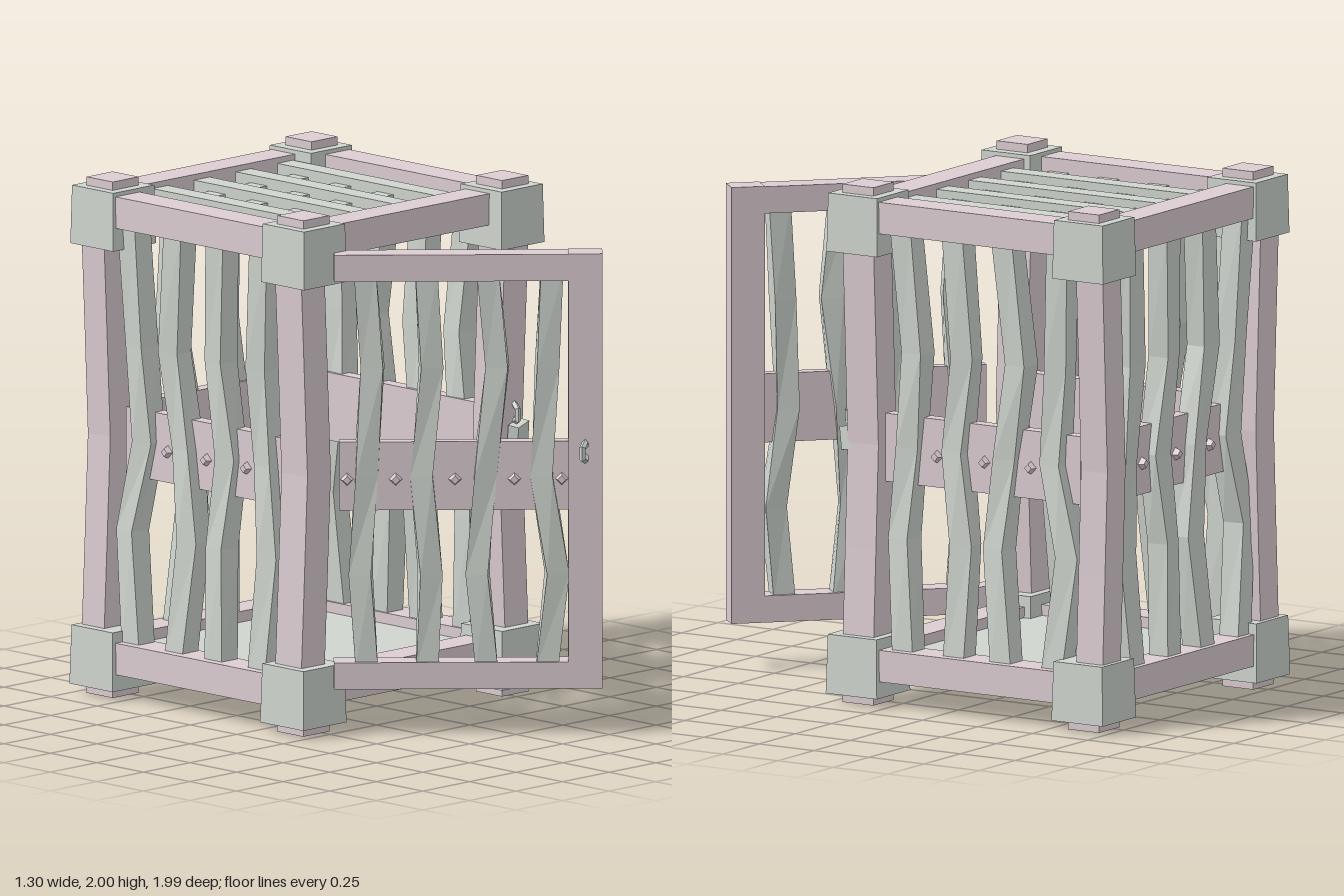
import * as THREE from 'three';

const wood = new THREE.MeshStandardMaterial({ color: 0xdccdd2, flatShading: true });
const grey = new THREE.MeshStandardMaterial({ color: 0xcfd5cf, flatShading: true });
const MID_Z = -0.37; // centre of the cage body, the open door reaches forward of it

function add(parent, name, geometry, material, x, y, z) {
  const mesh = new THREE.Mesh(geometry, material);
  mesh.name = name;
  mesh.position.set(x, y, z);
  parent.add(mesh);
  return mesh;
}

// Box given by its lower and upper corners
function span(parent, name, material, [x0, y0, z0], [x1, y1, z1]) {
  return add(parent, name, new THREE.BoxGeometry(x1 - x0, y1 - y0, z1 - z0), material,
    (x0 + x1) / 2, (y0 + y1) / 2, (z0 + z1) / 2);
}

// Upright beam whose rows are placed at heights ys, shifted by dx and dz and twisted
function crookedBeam(width, depth, ys, dx, dz, twist) {
  const n = ys.length - 1;
  const geo = new THREE.BoxGeometry(width, 1, depth, 1, n, 1);
  const p = geo.attributes.position;
  for (let i = 0; i < p.count; i++) {
    const r = Math.round((p.getY(i) + 0.5) * n);
    const a = twist[r], x = p.getX(i), z = p.getZ(i);
    p.setXYZ(i, x * Math.cos(a) - z * Math.sin(a) + dx[r], ys[r], x * Math.sin(a) + z * Math.cos(a) + dz[r]);
  }
  geo.computeVertexNormals();
  return geo;
}

// Box narrowing towards the top
function taperedBlock(size, height, k) {
  const geo = new THREE.BoxGeometry(size, height, size);
  const p = geo.attributes.position;
  for (let i = 0; i < p.count; i++) {
    if (p.getY(i) > 0) p.setXYZ(i, p.getX(i) * k, p.getY(i), p.getZ(i) * k);
  }
  geo.computeVertexNormals();
  return geo;
}

// Sideways course of the four bars of a wall, from bottom to top
const BAR_ROWS = [0.2, 0.65, 1.0, 1.37, 1.85];
const BAR_PATHS = [
  [-0.315, -0.345, -0.32, -0.285, -0.325],
  [-0.085, -0.07, -0.11, -0.065, -0.09],
  [0.13, 0.085, 0.12, 0.185, 0.135],
  [0.36, 0.41, 0.335, 0.36, 0.385],
];
const BOW = [0.55, 0.53, 0.52, 0.53, 0.55];
const TWIST = [0, 0.12, -0.1, 0.1, 0];

function stud(parent, x, y, z) {
  const s = add(parent, 'stud', new THREE.CylinderGeometry(0.016, 0.026, 0.025, 4), wood, x, y, z);
  s.rotation.x = Math.PI / 2;
}

// Wall of crooked bars with a studded plank, facing local +z
function barWall(name, side, stretch) {
  const wall = new THREE.Group();
  wall.name = name;
  BAR_PATHS.forEach((path, i) => {
    const dx = path.map(u => u * side * stretch);
    const tw = TWIST.map(t => (i % 2 ? -t : t) * side);
    add(wall, 'wallBar', crookedBeam(0.093, 0.085, BAR_ROWS, dx, BOW, tw), grey, 0, 0, 0);
  });
  span(wall, 'wallPlank', wood, [-0.45, 0.855, 0.47], [0.45, 1.118, 0.525]);
  for (const u of [-0.2, 0.015, 0.225]) stud(wall, u * side * stretch, 0.975, 0.535);
  return wall;
}

// Shackle ring; facing along local x
function ring(parent, x, y, z) {
  const r = add(parent, 'latchRing', new THREE.TorusGeometry(0.038, 0.012, 4, 5), grey, x, y, z);
  r.rotation.y = Math.PI / 2 - 0.25;
  return r;
}

function buildDoor() {
  const door = new THREE.Group();
  door.name = 'door';
  door.position.set(-0.475, 0, 0.245);
  door.rotation.y = -0.765;
  for (const y of [0.18, 1.76]) span(door, 'doorRail', wood, [0, y, -0.05], [0.89, y + 0.103, 0.05]);
  span(door, 'doorStile', wood, [0.89, 0.18, -0.05], [1.02, 1.865, 0.05]);
  span(door, 'doorPlank', wood, [0.02, 0.87, -0.02], [0.89, 1.135, 0.03]);
  // Door bars reuse the courses of the wall bars
  const ys = [0.26, 0.62, 1.0, 1.42, 1.8];
  [0.125, 0.355, 0.58, 0.81].forEach((s, i) => {
    const path = BAR_PATHS[i], base = path[0];
    const dx = path.map(u => s + (u - base) * 0.75);
    const tw = TWIST.map(t => (i % 2 ? -t : t));
    add(door, 'doorBar', crookedBeam(0.085, 0.075, ys, dx, [0, 0, 0, 0, 0], tw), grey, 0, 0, 0);
  });
  for (const s of [0.05, 0.235, 0.46, 0.685, 0.865]) stud(door, s, 0.99, 0.04);
  ring(door, 0.95, 1.1, 0.07);
  return door;
}

export function createModel() {
  const cage = new THREE.Group();
  cage.name = 'cage';

  // Corners: bowed posts, blocks and end caps
  const postRows = [0.2, 0.6, 1.0, 1.4, 1.8];
  const inward = [0, 0.018, 0.035, 0.018, 0];
  for (const sx of [-1, 1]) {
    for (const [z, postZ, depth] of [[0.14, 0.135, 0.14], [-0.885, -0.915, 0.12]]) {
      const post = crookedBeam(0.125, depth, postRows, inward.map(d => -sx * d), [0, 0, 0, 0, 0], [0, 0, 0, 0, 0]);
      add(cage, 'cornerPost', post, wood, sx * 0.548, 0, postZ);
      add(cage, 'lowerCornerBlock', taperedBlock(0.232, 0.228, 0.95), grey, sx * 0.533, 0.15, z);
      add(cage, 'upperCornerBlock', taperedBlock(0.23, 0.225, 0.96), grey, sx * 0.53, 1.855, z);
      for (const y of [0.03, 1.97]) {
        add(cage, 'postCap', new THREE.BoxGeometry(0.14, 0.06, 0.14), wood, sx * 0.533, y, z);
      }
    }
  }

  // Rails around the bottom and the top
  for (const [y0, y1] of [[0.1, 0.222], [1.83, 1.952]]) {
    span(cage, 'frontRail', wood, [-0.45, y0, 0.057], [0.45, y1, 0.185]);
    span(cage, 'backRail', wood, [-0.45, y0, -0.985], [0.45, y1, -0.86]);
    for (const sx of [-1, 1]) {
      add(cage, 'sideRail', new THREE.BoxGeometry(0.13, y1 - y0, 0.86), wood, sx * 0.563, (y0 + y1) / 2, MID_Z);
    }
  }

  // Floor and roof lattice
  span(cage, 'floor', grey, [-0.51, 0.115, -0.87], [0.51, 0.18, 0.07]);
  for (let i = 0; i < 4; i++) {
    const x = -0.302 + i * 0.223, z = -0.735 + i * 0.228;
    span(cage, 'roofBar', grey, [x - 0.042, 1.87, -0.87], [x + 0.042, 1.93, 0.07]);
    span(cage, 'roofCrossBar', grey, [-0.51, 1.835, z - 0.043], [0.51, 1.9, z + 0.043]);
  }

  // Barred walls on three sides
  for (const [name, side, angle, stretch] of [['leftWall', 1, Math.PI / 2, 1],
    ['rightWall', -1, -Math.PI / 2, 1], ['backWall', 1, Math.PI, 1.09]]) {
    const wall = barWall(name, side, stretch);
    wall.position.z = MID_Z;
    wall.rotation.y = angle;
    cage.add(wall);
  }

  // Open door and the padlock left on the post
  cage.add(buildDoor());
  ring(cage, 0.525, 1.09, 0.22).rotation.y = Math.PI / 2 - 0.5;
  const lock = add(cage, 'padlock', new THREE.BoxGeometry(0.085, 0.09, 0.045), grey, 0.537, 1.01, 0.222);
  lock.rotation.set(0.15, 0.3, 0.12);
  return cage;
}
